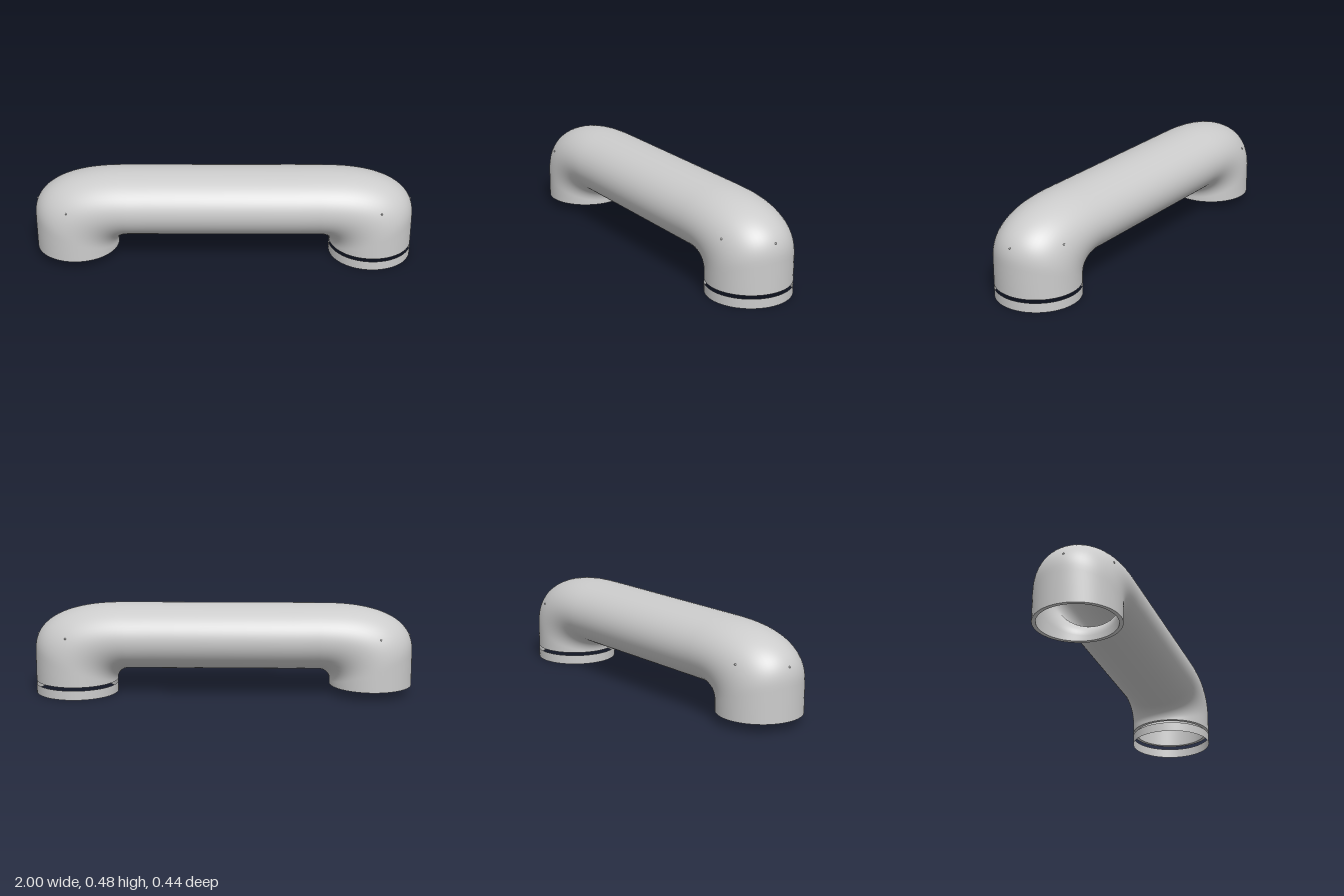
import * as THREE from 'three';

const LEG_X = 0.782, R = 0.218, WALL = 0.02, TOP = 0.48, UNDER = 0.133;
const SIDES = 64, BEND = 28;

// Half of the pipe path: pairs of points on the inside and outside of the bend
function halfStations(endY) {
  const list = [];
  for (let i = 0; i < 4; i++) list.push({ inner: [i * 0.125, UNDER], outer: [i * 0.125, TOP] });
  for (let i = 0; i <= BEND; i++) {
    const a = (i / BEND) * Math.PI / 2;
    const s = Math.sin(a), c = Math.max(0, Math.cos(a));
    list.push({
      inner: [0.5 + 0.064 * s, 0.069 + 0.064 * c],
      outer: [0.5 + 0.5 * Math.pow(s, 0.8), 0.22 + 0.26 * Math.pow(c, 0.8)],
    });
  }
  list.push({ inner: [LEG_X - R, endY], outer: [LEG_X + R, endY] });
  return list;
}

// Elliptical cross-section spanning the inner and outer point of a station
function section({ inner, outer }, inset) {
  const mx = (inner[0] + outer[0]) / 2, my = (inner[1] + outer[1]) / 2;
  const dx = (outer[0] - inner[0]) / 2, dy = (outer[1] - inner[1]) / 2;
  const k = 1 - inset / Math.hypot(dx, dy);
  const ring = [];
  for (let j = 0; j < SIDES; j++) {
    const a = (j / SIDES) * Math.PI * 2;
    ring.push(new THREE.Vector3(
      mx + dx * k * Math.cos(a), my + dy * k * Math.cos(a), (R - inset) * Math.sin(a)));
  }
  return ring;
}

// Skin a row of closed cross-sections
function skin(rings, flip) {
  const index = [];
  for (let i = 0; i < rings.length - 1; i++) {
    for (let j = 0; j < SIDES; j++) {
      const n = (j + 1) % SIDES;
      const a = i * SIDES + j, b = a + SIDES, c = i * SIDES + n, d = c + SIDES;
      if (flip) index.push(a, b, c, c, b, d);
      else index.push(a, c, b, c, d, b);
    }
  }
  const g = new THREE.BufferGeometry().setFromPoints(rings.flat());
  g.setIndex(index);
  g.computeVertexNormals();
  return g;
}

export function createModel() {
  const group = new THREE.Group();
  const mat = new THREE.MeshStandardMaterial({ color: 0xcccccc });
  const sheet = new THREE.MeshStandardMaterial({ color: 0xcccccc, side: THREE.DoubleSide });
  const add = (name, geometry, material = mat) => {
    const mesh = new THREE.Mesh(geometry, material);
    mesh.name = name;
    group.add(mesh);
    return mesh;
  };

  // Pipe: the left leg stops above its collar, the right leg is a little longer
  const mirror = ({ inner, outer }) => ({ inner: [-inner[0], inner[1]], outer: [-outer[0], outer[1]] });
  const stations = [
    ...halfStations(0.047).slice(1).reverse().map(mirror),
    ...halfStations(0.067),
  ];
  const outside = stations.map((s) => section(s, 0));
  const inside = stations.map((s) => section(s, WALL));
  add('pipeOuterWall', skin(outside, false));
  add('pipeInnerWall', skin(inside, true));

  // Flat rims closing the wall thickness at both ends
  const last = stations.length - 1;
  add('rightRim', skin([inside[0], outside[0]], false), sheet);
  add('leftRim', skin([outside[last], inside[last]], false), sheet);

  // Loose collar under the left leg
  const collar = add('collar', new THREE.CylinderGeometry(R, R, 0.05, 64, 1, true), sheet);
  collar.position.set(LEG_X, 0.025, 0);

  // Tiny screws on the front, back and end of each leg, set on the nearest skin point
  const points = outside.flat();
  const screw = new THREE.SphereGeometry(0.005, 10, 8);
  for (const side of [-1, 1]) {
    for (const [x, z] of [[0.815, 0.2], [0.815, -0.2], [0.98, 0]]) {
      const target = new THREE.Vector3(side * x, 0.313, z);
      const spot = points.reduce((best, p) =>
        p.distanceToSquared(target) < best.distanceToSquared(target) ? p : best);
      add('screw', screw).position.copy(spot);
    }
  }
  return group;
}
